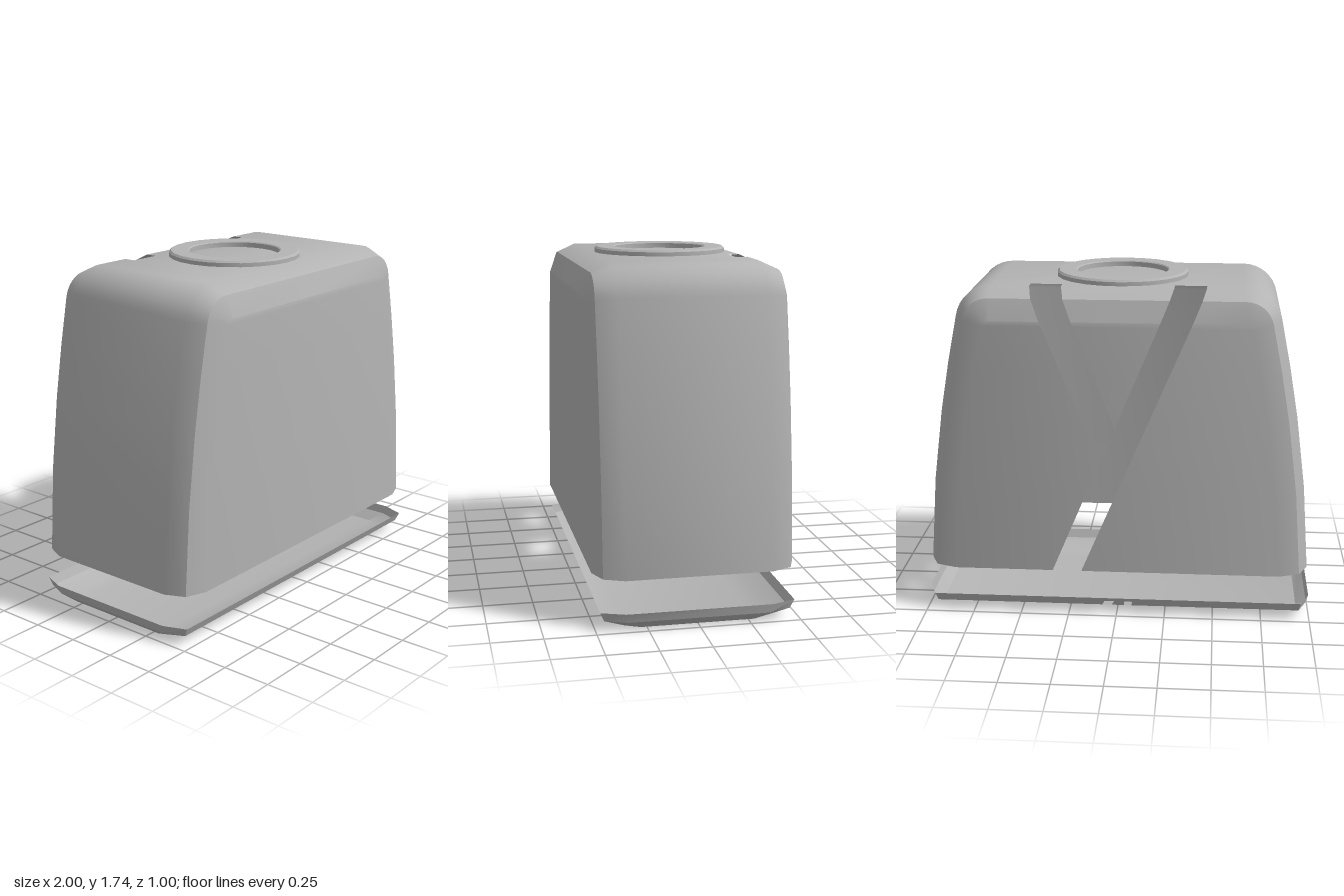
import * as THREE from 'three';
import { toCreasedNormals } from 'three/addons/utils/BufferGeometryUtils.js';

// Joins rows of points into triangles
function grid(rows, out) {
  for (let i = 0; i < rows.length - 1; i++) {
    for (let j = 0; j < rows[i].length - 1; j++) {
      const a = rows[i][j], b = rows[i][j + 1], c = rows[i + 1][j + 1], d = rows[i + 1][j];
      out.push(...a, ...b, ...c, ...a, ...c, ...d);
    }
  }
}

function creased(points) {
  const geo = new THREE.BufferGeometry();
  geo.setAttribute('position', new THREE.Float32BufferAttribute(points, 3));
  return toCreasedNormals(geo, 0.6);
}

// Planes round a convex prism, along z or y, kept below a limit on that axis
function prism(points, axis, limit) {
  const to3 = ([u, v]) => (axis === 'z' ? new THREE.Vector3(u, v, 0) : new THREE.Vector3(u, 0, v));
  const along = new THREE.Vector3();
  along[axis] = 1;
  const corners = points.map(to3);
  const centre = new THREE.Vector3();
  corners.forEach((p) => centre.addScaledVector(p, 1 / corners.length));
  const planes = corners.map((p, i) => {
    const edge = corners[(i + 1) % corners.length].clone().sub(p);
    const plane = new THREE.Plane().setFromNormalAndCoplanarPoint(edge.cross(along).normalize(), p);
    return plane.distanceToPoint(centre) > 0 ? plane.negate() : plane;
  });
  planes.push(new THREE.Plane(along, -limit));
  return planes;
}

// Splits a polygon of [x, y, z, nx, ny, nz] vertices by a plane
function split(poly, plane) {
  const inside = [], outside = [];
  const dist = (v) => plane.normal.x * v[0] + plane.normal.y * v[1] + plane.normal.z * v[2] + plane.constant;
  poly.forEach((v, i) => {
    const w = poly[(i + 1) % poly.length], dv = dist(v), dw = dist(w);
    (dv < 0 ? inside : outside).push(v);
    if ((dv < 0) !== (dw < 0)) {
      const t = dv / (dv - dw), m = v.map((value, k) => value + (w[k] - value) * t);
      inside.push(m);
      outside.push(m);
    }
  });
  return { inside, outside };
}

// Removes the part of a surface that lies in a convex prism
function cut(geo, planes) {
  const p = geo.attributes.position.array, n = geo.attributes.normal.array;
  const pos = [], nor = [];
  const emit = (poly) => {
    for (let i = 1; i < poly.length - 1; i++) {
      for (const v of [poly[0], poly[i], poly[i + 1]]) {
        pos.push(v[0], v[1], v[2]);
        nor.push(v[3], v[4], v[5]);
      }
    }
  };
  for (let t = 0; t < p.length; t += 9) {
    const tri = [0, 3, 6].map((k) => [...p.slice(t + k, t + k + 3), ...n.slice(t + k, t + k + 3)]);
    let rest = tri;
    const pieces = [];
    for (const plane of planes) {
      const { inside, outside } = split(rest, plane);
      if (outside.length > 2) pieces.push(outside);
      rest = inside;
      if (rest.length < 3) break;
    }
    if (rest.length < 3) emit(tri);
    else pieces.forEach(emit);
  }
  const result = new THREE.BufferGeometry();
  result.setAttribute('position', new THREE.Float32BufferAttribute(pos, 3));
  result.setAttribute('normal', new THREE.Float32BufferAttribute(nor, 3));
  return result;
}

// Hollow housing, open below, with bevelled front and back panels
function housingGeometry() {
  // half outline: x, y and the outward angle in degrees
  const half = [[0.985, 0.25, 0], [0.953, 0.69, 5], [0.905, 1.06, 7], [0.86, 1.32, 9]];
  for (let a = 10; a <= 90; a += 10) {
    const r = THREE.MathUtils.degToRad(a);
    half.push([0.63 + 0.185 * Math.cos(r), 1.525 + 0.185 * Math.sin(r), a]);
  }
  half.push([0, 1.71, 90]);
  const inset = (d, z) => half.map(([x, y, a]) => {
    const r = THREE.MathUtils.degToRad(a);
    return [x === 0 ? 0 : x - d * Math.cos(r), y - d * Math.sin(r), z];
  });
  const mirror = ([x, y, z]) => [-x, y, z];
  const ring = (d, z) => {
    const right = inset(d, z);
    return [...right, ...right.slice(0, -1).reverse().map(mirror)];
  };
  const out = [];
  grid([[0.15, -0.5], [0.045, -0.46], [0, -0.36], [0, 0.36], [0.045, 0.46], [0.15, 0.5]]
    .map(([d, z]) => ring(d, z)), out);
  grid(inset(0.15, 0.5).slice(0, -1).map((p) => [mirror(p), p]), out);
  grid(inset(0.15, -0.5).slice(0, -1).map((p) => [p, mirror(p)]), out);
  let geo = creased(out);
  // branching slot in the back
  geo = cut(geo, prism([[0.201, 0.2], [0.349, 0.2], [-0.3175, 1.8], [-0.478, 1.8]], 'z', -0.3));
  return cut(geo, prism([[-0.03, 0.935], [0.12, 0.935], [0.477, 1.8], [0.3175, 1.8]], 'z', -0.3));
}

// Shallow open tray with chamfered corners
function trayGeometry() {
  // y, half width, half depth, and the same two after the corner chamfer
  const levels = [[0, 0.94, 0.355, 0.9, 0.28], [0.045, 0.99, 0.458, 0.945, 0.35], [0.09, 1, 0.478, 0.955, 0.36]];
  const out = [];
  grid(levels.map(([y, x, z, ix, iz]) => [
    [-ix, y, z], [ix, y, z], [x, y, iz], [x, y, -iz], [ix, y, -z],
    [-ix, y, -z], [-x, y, -iz], [-x, y, iz], [-ix, y, z]]), out);
  const [y, x, z, ix, iz] = levels[0];
  grid([[ix, -z], [x, -iz], [x, iz], [ix, z]].map(([w, d]) => [[-w, y, d], [w, y, d]]), out);
  let geo = creased(out);
  // two small slits at the back
  geo = cut(geo, prism([[0.13, -0.36], [0.18, -0.36], [0.03, -0.5], [-0.02, -0.5]], 'y', 0.07));
  return cut(geo, prism([[-0.05, -0.36], [-0.01, -0.36], [-0.05, -0.5], [-0.09, -0.5]], 'y', 0.07));
}

export function createModel() {
  const group = new THREE.Group();
  group.name = 'housingWithTray';
  const grey = new THREE.MeshStandardMaterial({ color: 0xb4b4b4, side: THREE.DoubleSide });
  grey.name = 'grey';
  const add = (name, geo) => {
    const mesh = new THREE.Mesh(geo, grey);
    mesh.name = name;
    group.add(mesh);
  };

  add('housing', housingGeometry());
  add('tray', trayGeometry());

  // Raised ring on the top
  const profile = [[0.34, 1.709], [0.34, 1.73], [0.33, 1.74], [0.242, 1.74], [0.235, 1.735], [0.235, 1.709]];
  const ring = new THREE.LatheGeometry(profile.map(([r, y]) => new THREE.Vector2(r, y)), 24);
  add('topRing', toCreasedNormals(ring, 0.6));
  return group;
}
